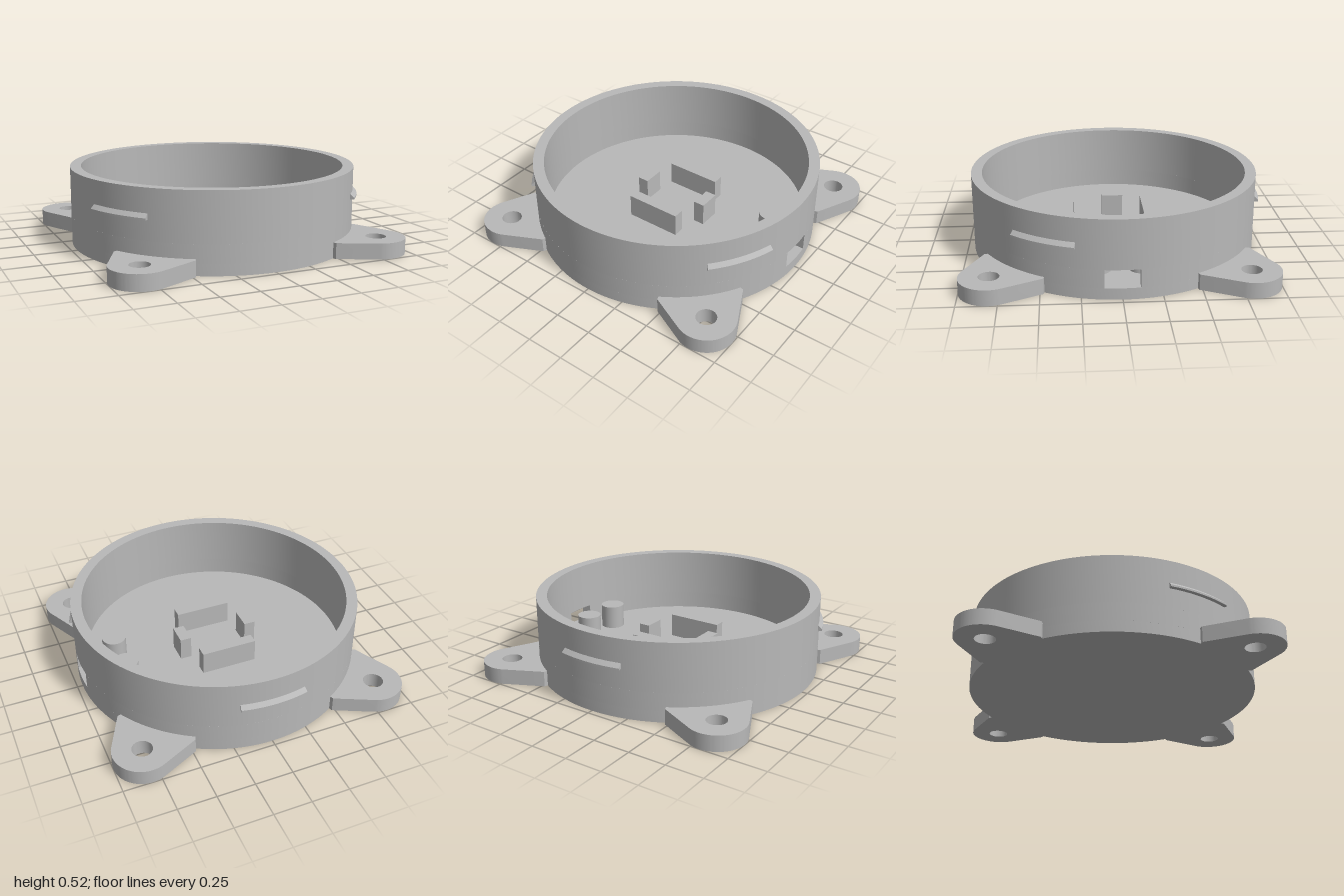
import * as THREE from 'three';
import { toCreasedNormals } from 'three/addons/utils/BufferGeometryUtils.js';

const OUTER = 0.963, INNER = 0.89, HEIGHT = 0.52;
const FLOOR = 0.075, PORT_TOP = 0.195, PORT_HALF = 0.11;

// Extrude a plan outline upwards from y0 to y1
function slab(shape, y0, y1, curveSegments = 64, steps = 1) {
  const g = new THREE.ExtrudeGeometry(shape, { depth: y1 - y0, bevelEnabled: false, curveSegments, steps });
  return g.rotateX(-Math.PI / 2).translate(0, y0, 0);
}

// Band between two radii, from angle a to b on the outer arc and c to d on the inner
function band(rIn, rOut, a, b, c = a, d = b) {
  const s = new THREE.Shape();
  s.absarc(0, 0, rOut, a, b, false);
  s.absarc(0, 0, rIn, d, c, true);
  s.closePath();
  return s;
}

function circle(r, x = 0, y = 0) {
  return new THREE.Path().absarc(x, y, r, 0, Math.PI * 2, false);
}

export function createModel() {
  const model = new THREE.Group();
  model.name = 'roundEnclosureBase';
  const grey = new THREE.MeshStandardMaterial({ color: 0xb8b8b8 });
  grey.name = 'grey plastic';

  function add(name, geometry, x = 0, y = 0, z = 0) {
    const mesh = new THREE.Mesh(toCreasedNormals(geometry, 0.5), grey);
    mesh.name = name;
    mesh.position.set(x, y, z);
    model.add(mesh);
    return mesh;
  }

  // Floor disc
  const disc = new THREE.Shape().absarc(0, 0, OUTER, 0, Math.PI * 2, false);
  add('floor', slab(disc, 0, FLOOR));

  // Lower wall, open at the cable port on +x with parallel jambs
  const aOut = Math.asin(PORT_HALF / OUTER), aIn = Math.asin(PORT_HALF / INNER);
  const full = Math.PI * 2;
  add('lowerWall', slab(band(INNER, OUTER, aOut, full - aOut, aIn, full - aIn), FLOOR, PORT_TOP, 96));

  // Upper wall ring
  const ring = new THREE.Shape().absarc(0, 0, OUTER, 0, full, false);
  ring.holes.push(circle(INNER));
  add('upperWall', slab(ring, PORT_TOP, HEIGHT));

  // Four rounded mounting tabs with screw holes
  const c = 0.81, a0 = THREE.MathUtils.degToRad(-24), a1 = THREE.MathUtils.degToRad(114);
  const tab = new THREE.Shape();
  tab.moveTo(0.83, 0.47);
  tab.lineTo(0.862, 0.48);
  tab.absarc(c, c, 0.19, a0, a1, false);
  tab.lineTo(0.48, 0.862);
  tab.lineTo(0.47, 0.83);
  tab.closePath();
  tab.holes.push(circle(0.066, c, c));
  const tabGeometry = slab(tab, 0, 0.104, 24);
  for (let i = 0; i < 4; i++) add('mountingTab', tabGeometry).rotation.y = i * Math.PI / 2;

  // Three snap ridges around the wall, with sloping upper faces
  const half = THREE.MathUtils.degToRad(13);
  const ridge = slab(band(0.95, 0.989, -half, half), 0, 0.038, 20, 3);
  const p = ridge.attributes.position;
  for (let i = 0; i < p.count; i++) {
    const r = Math.hypot(p.getX(i), p.getZ(i));
    if (r < 0.97) continue;
    const k = (0.989 - Math.max(0, p.getY(i) - 0.0127)) / r;
    p.setX(i, p.getX(i) * k);
    p.setZ(i, p.getZ(i) * k);
  }
  for (const deg of [-30, 90, 210]) {
    add('snapRidge', ridge, 0, 0.326, 0).rotation.y = THREE.MathUtils.degToRad(deg);
  }

  // Locating blocks on the floor
  const top = 0.235, h = top - FLOOR + 0.01, mid = top - h / 2;
  for (const s of [-1, 1]) {
    add('longBlock', new THREE.BoxGeometry(0.38, h, 0.074), 0, mid, s * 0.237);
    add('shortBlock', new THREE.BoxGeometry(0.076, h, 0.146), s * 0.238, mid, -0.003);
  }

  // Two round posts beside the port
  for (const z of [-0.137, 0.135]) {
    add('post', new THREE.CylinderGeometry(0.081, 0.081, h, 40), 0.685, mid + 0.002, z);
  }

  return model;
}
